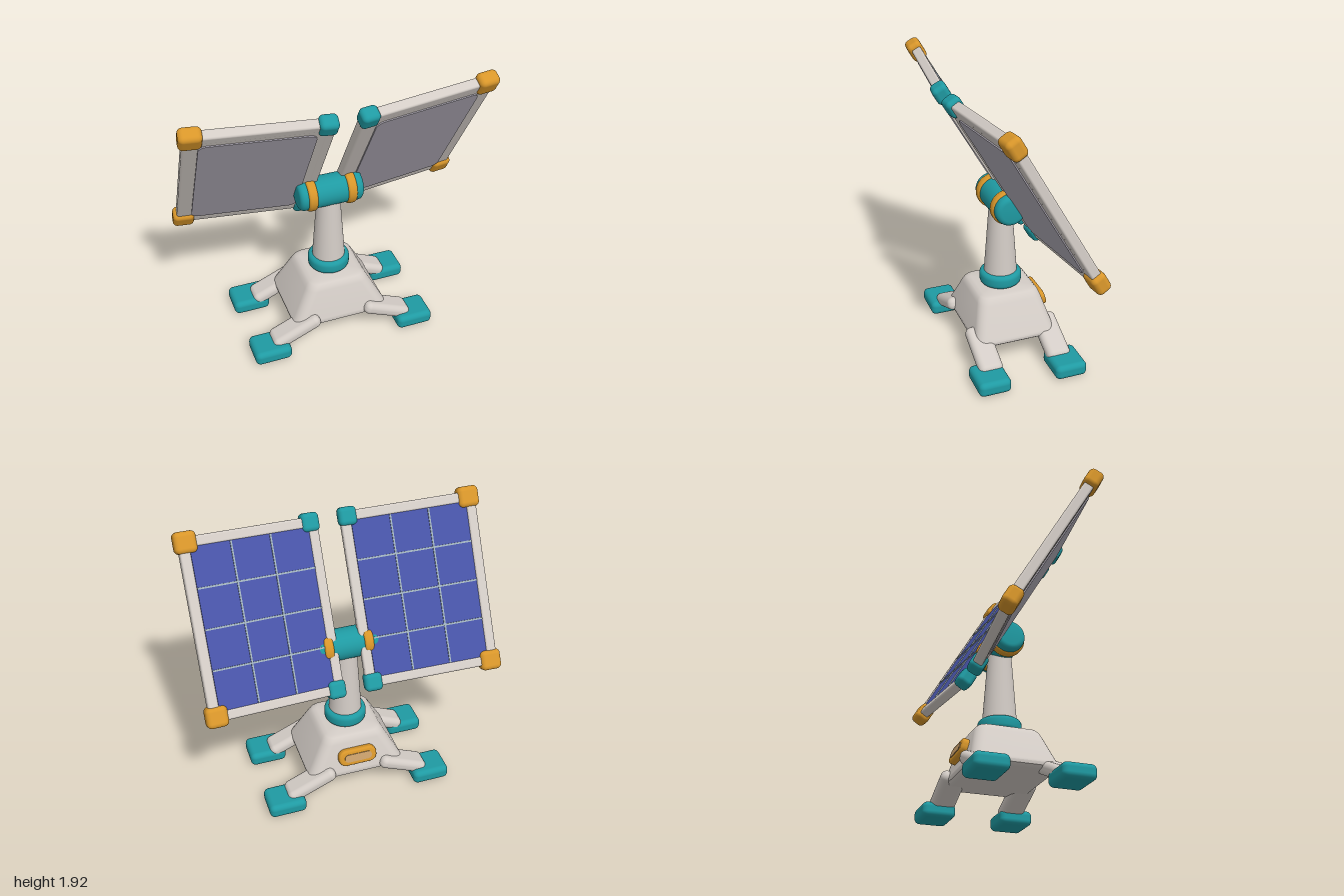
import * as THREE from 'three';
import { RoundedBoxGeometry } from 'three/addons/geometries/RoundedBoxGeometry.js';
import { toCreasedNormals } from 'three/addons/utils/BufferGeometryUtils.js';

const mat = (name, color) => {
  const m = new THREE.MeshStandardMaterial({ color });
  m.name = name;
  return m;
};

const CZ = -0.022; // z of the base and mast axis

function add(parent, name, geo, material, x = 0, y = 0, z = 0) {
  const m = new THREE.Mesh(geo, material);
  m.name = name;
  m.position.set(x, y, z);
  parent.add(m);
  return m;
}

const rbox = (w, h, d, r) => new RoundedBoxGeometry(w, h, d, 4, r);

// Cylinder along y with rounded rims
function roundedCylinder(rad, h, b) {
  const pts = [new THREE.Vector2(0, -h / 2)];
  for (const s of [-1, 1]) {
    for (let i = 0; i <= 5; i++) {
      const a = (s < 0 ? -1 + i / 5 : i / 5) * Math.PI / 2;
      pts.push(new THREE.Vector2(rad - b + b * Math.cos(a), s * (h / 2 - b) + b * Math.sin(a)));
    }
  }
  pts.push(new THREE.Vector2(0, h / 2));
  return toCreasedNormals(new THREE.LatheGeometry(pts, 40), 0.6);
}

// Rounded rectangle, extruded and centred
function roundedPlate(w, h, r, depth, bevel = 0) {
  const x = w / 2 - bevel, y = h / 2 - bevel, q = r - bevel;
  const s = new THREE.Shape();
  s.absarc(x - q, y - q, q, 0, Math.PI / 2);
  s.absarc(-x + q, y - q, q, Math.PI / 2, Math.PI);
  s.absarc(-x + q, -y + q, q, Math.PI, Math.PI * 1.5);
  s.absarc(x - q, -y + q, q, Math.PI * 1.5, Math.PI * 2);
  const g = new THREE.ExtrudeGeometry(s, {
    depth: depth - 2 * bevel, bevelEnabled: bevel > 0, bevelSize: bevel,
    bevelThickness: bevel, bevelSegments: 4, curveSegments: 8,
  });
  g.center();
  return toCreasedNormals(g, 0.6);
}

// Loft of rounded rectangles [y, halfX, halfZ, radius], capped at both ends
function loft(levels) {
  const pos = [], idx = [], per = 7, n = per * 4;
  for (const [y, hx, hz, r] of levels) {
    for (let i = 0; i < n; i++) {
      const c = Math.floor(i / per);
      const a = (c + (i % per) / (per - 1)) * Math.PI / 2;
      const sx = c === 0 || c === 3 ? 1 : -1, sz = c < 2 ? 1 : -1;
      pos.push(sx * (hx - r) + r * Math.cos(a), y, sz * (hz - r) + r * Math.sin(a));
    }
  }
  const last = levels.length - 1;
  pos.push(0, levels[0][0], 0, 0, levels[last][0], 0);
  const bottom = n * levels.length, top = bottom + 1;
  for (let i = 0; i < n; i++) {
    const j = (i + 1) % n;
    for (let k = 0; k < last; k++) {
      const a = k * n + i, b = k * n + j;
      idx.push(a, a + n, b, b, a + n, b + n);
    }
    idx.push(bottom, i, j, top, last * n + j, last * n + i);
  }
  const g = new THREE.BufferGeometry();
  g.setAttribute('position', new THREE.Float32BufferAttribute(pos, 3));
  g.setIndex(idx);
  return toCreasedNormals(g, 0.6);
}

export function createModel() {
  const root = new THREE.Group();
  root.name = 'solarStation';
  const shell = mat('warm grey shell', 0xd3ccc6);
  const teal = mat('teal', 0x1f9aa2);
  const ochre = mat('ochre', 0xd8962a);
  const blue = mat('solar blue', 0x4854a8);
  const lines = mat('cell lines', 0x9fb0bc);
  const backing = mat('lavender grey backing', 0xaca7b2);
  const tan = mat('tan', 0xc9a06c);

  // Base body
  add(root, 'baseBody', loft([
    [0.15, 0.3, 0.245, 0.05], [0.153, 0.32, 0.265, 0.06], [0.165, 0.334, 0.278, 0.07],
    [0.185, 0.337, 0.282, 0.07], [0.2, 0.33, 0.278, 0.07], [0.4, 0.223, 0.222, 0.07],
    [0.425, 0.208, 0.212, 0.07], [0.442, 0.19, 0.196, 0.06], [0.45, 0.165, 0.172, 0.05],
  ]), shell, 0, 0, CZ);

  // Legs and feet
  for (const sx of [-1, 1]) for (const sz of [-1, 1]) {
    const leg = add(root, 'leg', rbox(0.36, 0.09, 0.165, 0.04), shell, sx * 0.33, 0.145, CZ + sz * 0.24);
    leg.rotation.z = -sx * 0.42;
    add(root, 'foot', rbox(0.255, 0.1, 0.22, 0.035), teal, sx * 0.518, 0.05, CZ + sz * 0.266);
  }

  // Badge on the back of the base
  const badge = new THREE.Group();
  badge.name = 'backBadge';
  badge.position.set(0, 0.308, -0.282);
  badge.rotation.x = 0.28;
  add(badge, 'badgeRim', roundedPlate(0.265, 0.115, 0.05, 0.06, 0.015), ochre);
  add(badge, 'badgeInset', roundedPlate(0.19, 0.055, 0.025, 0.008), tan, 0, 0, -0.031);
  root.add(badge);

  // Mast, collar and hinge
  add(root, 'mast', new THREE.CylinderGeometry(0.075, 0.117, 0.58, 40), shell, 0, 0.76, CZ);
  add(root, 'mastCollar', roundedCylinder(0.142, 0.095, 0.03), teal, 0, 0.498, CZ);
  const hinge = new THREE.Group();
  hinge.name = 'hinge';
  hinge.position.set(0, 1.072, CZ);
  hinge.rotation.z = Math.PI / 2;
  add(hinge, 'hingeBarrel', roundedCylinder(0.105, 0.44, 0.035), teal);
  for (const s of [-1, 1]) {
    add(hinge, 'hingeRing', roundedCylinder(0.118, 0.064, 0.02), ochre, 0, s * 0.135, 0);
  }
  root.add(hinge);

  // Two tilted panels, cells facing local -z
  for (const s of [-1, 1]) {
    const p = new THREE.Group();
    p.name = s > 0 ? 'leftPanel' : 'rightPanel';
    p.position.set(s * 0.524, 1.355, 0.02);
    p.rotation.set(Math.PI / 6, s * 0.1, 0);

    add(p, 'panelSlab', new THREE.BoxGeometry(0.86, 1.11, 0.045), shell, 0, 0, 0.008);
    add(p, 'backingPlate', roundedPlate(0.7, 0.975, 0.05, 0.009), backing, s * 0.006, 0, 0.034);
    for (const e of [-1, 1]) {
      add(p, 'sideRail', rbox(0.066, 1.13, 0.066, 0.014), shell, e * 0.415, 0, -0.002);
      add(p, 'endRail', rbox(0.84, 0.066, 0.066, 0.014), shell, 0, e * 0.54, -0.002);
      add(p, 'outerCorner', rbox(0.14, 0.135, 0.102, 0.032), ochre, s * 0.402, e * 0.54, 0);
      add(p, 'innerCorner', rbox(0.118, 0.12, 0.102, 0.03), teal, -s * 0.4, e * 0.54, 0);
    }

    // Cells, three across and four down
    add(p, 'solarCells', new THREE.BoxGeometry(0.764, 1.02, 0.02), blue, 0, 0, -0.02);
    for (const i of [-1, 1]) {
      add(p, 'columnLine', new THREE.BoxGeometry(0.011, 1.015, 0.009), lines, i * 0.127, 0, -0.033);
    }
    for (const i of [-1, 0, 1]) {
      add(p, 'rowLine', new THREE.BoxGeometry(0.764, 0.011, 0.009), lines, 0, i * 0.255, -0.0335);
    }
    root.add(p);
  }
  return root;
}
